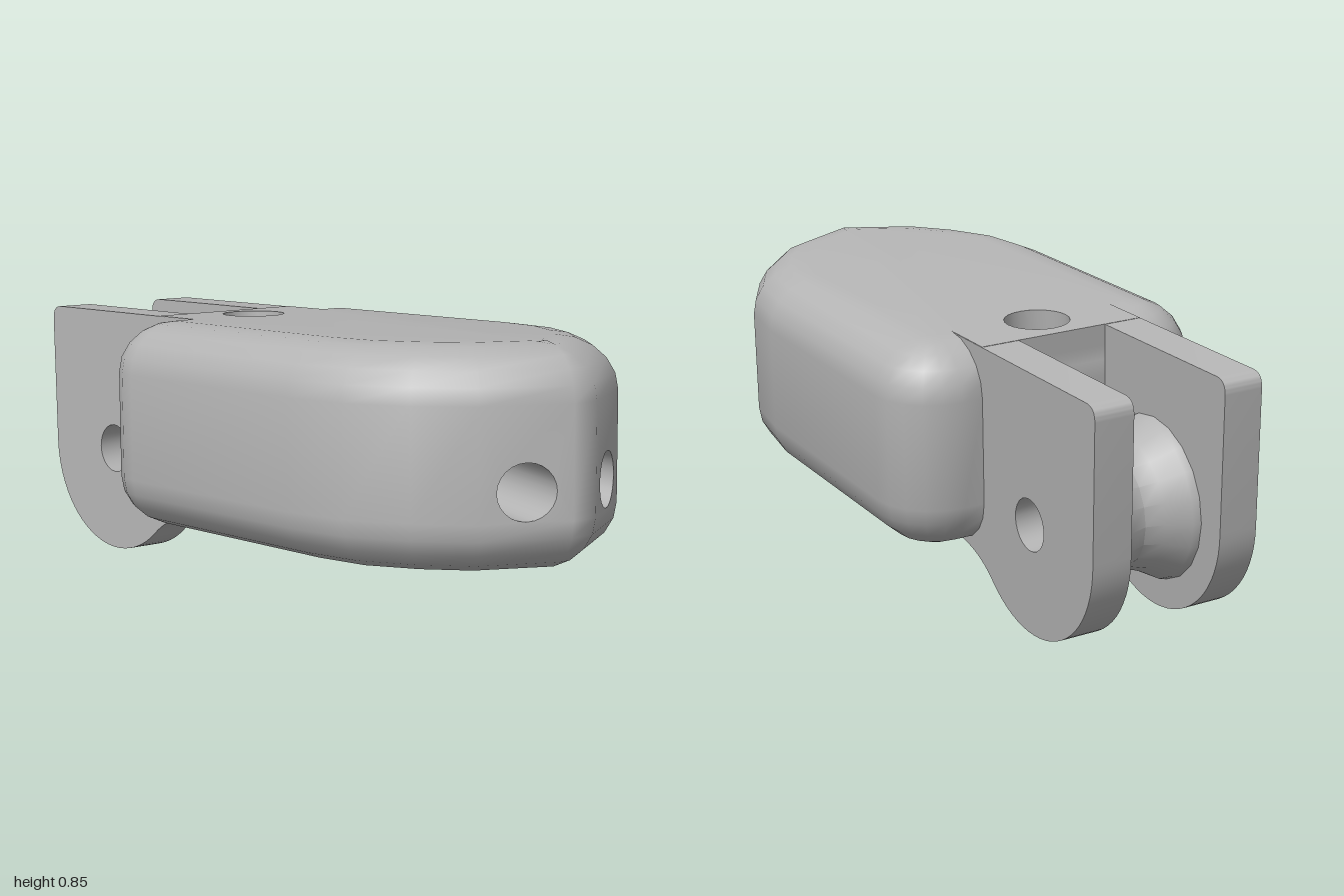
import * as THREE from 'three';
import { mergeGeometries, toCreasedNormals } from 'three/addons/utils/BufferGeometryUtils.js';

const WALL = 0.145, HALF = 0.285, INSET = 0.16, REAR = -0.41;

// Strip to bare positions, merge and give smooth-but-creased normals
function finish(...geos) {
  const bare = geos.map((g) => {
    const n = g.index ? g.toNonIndexed() : g;
    n.deleteAttribute('uv');
    n.deleteAttribute('normal');
    return n;
  });
  return toCreasedNormals(mergeGeometries(bare), 0.6);
}

function fromTriangles(points) {
  return new THREE.BufferGeometry().setFromPoints(points);
}

// Plan outline: bullet nose, straight sides, rounded rear corners, square rear tab
function planOutline() {
  const half = [[0.04, 1], [0.25, 0.885], [0.36, 0.755], [0.44, 0.6], [0.467, 0.42]];
  for (let k = 0; k <= 5; k++) {
    const a = (k / 5) * Math.PI / 2;
    half.push([0.297 + 0.17 * Math.cos(a), -0.24 - 0.17 * Math.sin(a)]);
  }
  half.push([0.24, REAR], [0.24, REAR, true]);
  const all = [...half, ...half.slice().reverse().map(([x, z, s]) => [-x, z, s])];
  return all.map(([x, z, square], i) => {
    const p = all[(i + all.length - 1) % all.length], n = all[(i + 1) % all.length];
    const dx = n[0] - p[0], dz = n[1] - p[1], l = Math.hypot(dx, dz);
    return { x, z, nx: square ? 0 : -dz / l, nz: square ? 0 : dx / l };
  });
}

// Flat wall panel from A to B with an elliptical opening
function panel(A, B, u, y, ru, ry) {
  const L = Math.hypot(B.x - A.x, B.z - A.z);
  const s = new THREE.Shape().moveTo(0, -WALL).lineTo(L, -WALL).lineTo(L, WALL).lineTo(0, WALL);
  s.holes.push(new THREE.Path().absellipse(u, y, ru, ry, 0, Math.PI * 2));
  return new THREE.ShapeGeometry(s, 12).rotateY(Math.atan2(A.z - B.z, B.x - A.x)).translate(A.x, 0, A.z);
}

// Bore from an opening in a nose panel back to a circle at depth z
function bore(A, B, u, y, ru, ry, end) {
  const N = 24, L = Math.hypot(B.x - A.x, B.z - A.z), tris = [];
  const front = (i) => {
    const a = (i / N) * Math.PI * 2, t = (u + ru * Math.cos(a)) / L;
    return new THREE.Vector3(A.x + (B.x - A.x) * t, y + ry * Math.sin(a), A.z + (B.z - A.z) * t);
  };
  const back = (i) => {
    const a = (i / N) * Math.PI * 2;
    return new THREE.Vector3(end.x + end.r * Math.cos(a), end.y + end.r * Math.sin(a), end.z);
  };
  for (let i = 0; i < N; i++) {
    tris.push(front(i), back(i + 1), back(i), front(i), front(i + 1), back(i + 1));
  }
  return fromTriangles(tris);
}

function bodyGeometry(outline) {
  // Rows from the underside fillet over the wall to the top fillet
  const rows = [];
  for (let k = 5; k >= 0; k--) {
    const a = (k / 5) * Math.PI / 2;
    rows.push([-(WALL + (HALF - WALL) * Math.sin(a)), INSET * (1 - Math.cos(a))]);
  }
  rows.push(...rows.slice().reverse().map(([y, d]) => [-y, d]));
  const at = (i, r) => {
    const p = outline[i % outline.length], [y, d] = rows[r];
    return new THREE.Vector3(p.x - p.nx * d, y, p.z - p.nz * d);
  };
  const n = outline.length, mid = n / 2 - 1;
  const open = [0, mid, n - 2];
  const tris = [];
  for (let r = 0; r < rows.length - 1; r++) {
    for (let i = 0; i < n; i++) {
      if (r === 5 && open.includes(i)) continue;
      const a = at(i, r), b = at(i + 1, r), c = at(i + 1, r + 1), d = at(i, r + 1);
      tris.push(a, b, c, a, c, d);
    }
  }
  // Flat top with the round well, and flat underside
  const ring = (r, sign) => outline.map((_, i) => new THREE.Vector2(at(i, r).x, sign * at(i, r).z));
  const top = new THREE.Shape(ring(rows.length - 1, -1));
  top.holes.push(new THREE.Path().absarc(0, 0.28, 0.088, 0, Math.PI * 2));
  const bottom = new THREE.Shape(ring(0, 1));
  return finish(
    fromTriangles(tris),
    new THREE.ShapeGeometry(top, 12).rotateX(-Math.PI / 2).translate(0, HALF, 0),
    new THREE.ShapeGeometry(bottom).rotateX(Math.PI / 2).translate(0, -HALF, 0),
    panel(outline[0], outline[1], 0.12, -0.068, 0.077, 0.073),
    panel(outline[n - 2], outline[n - 1], 0.12, -0.068, 0.077, 0.073),
    panel(outline[mid], outline[mid + 1], 0.22, 0.05, 0.075, 0.075),
  );
}

// Side profile of one fork arm: square top, round lower lobe, pin hole
function armGeometry() {
  const s = new THREE.Shape();
  s.moveTo(0.25, 0.284).lineTo(0.91, 0.284);
  s.quadraticCurveTo(0.95, 0.284, 0.95, 0.245);
  s.lineTo(0.943, -0.122);
  s.absarc(0.643, -0.122, 0.3, 0, -Math.PI * 0.722, true);
  s.quadraticCurveTo(0.37, -0.284, 0.25, -0.284);
  s.holes.push(new THREE.Path().absarc(0.643, -0.122, 0.07, 0, Math.PI * 2));
  const g = new THREE.ExtrudeGeometry(s, { depth: 0.11, bevelEnabled: false, curveSegments: 12 });
  return finish(g.rotateY(Math.PI / 2));
}

export function createModel() {
  const grey = new THREE.MeshStandardMaterial({ color: 0xb4b4b4, side: THREE.DoubleSide });
  grey.name = 'plain grey';
  const root = new THREE.Group();
  root.name = 'pulleyBlock';

  // Everything is built upright, then tilted as one
  const block = new THREE.Group();
  block.name = 'tiltedBlock';
  block.rotation.set(-0.087, 0.157, -0.067, 'YXZ');
  block.position.set(-0.02, 0.49, 0);
  root.add(block);
  const add = (name, geo) => {
    const m = new THREE.Mesh(geo, grey);
    m.name = name;
    block.add(m);
    return m;
  };

  const outline = planOutline(), n = outline.length;
  add('body', bodyGeometry(outline));

  // Bores: one runs through to the fork, the other is blind
  add('throughBore', finish(bore(outline[n - 2], outline[n - 1], 0.12, -0.068, 0.077, 0.073,
    { x: 0.02, y: 0.05, z: REAR, r: 0.075 })));
  add('blindBore', finish(
    bore(outline[0], outline[1], 0.12, -0.068, 0.077, 0.073, { x: 0.1, y: -0.04, z: 0.5, r: 0.073 }),
    new THREE.CircleGeometry(0.073, 24).translate(0.1, -0.04, 0.5)));

  // Round well in the top
  add('topWell', finish(
    new THREE.CylinderGeometry(0.088, 0.088, 0.145, 24, 1, true).translate(0, HALF - 0.0725, 0.0 - 0.28),
    new THREE.CircleGeometry(0.088, 24).rotateX(-Math.PI / 2).translate(0, HALF - 0.145, -0.28)));

  // Fork arms
  const arm = armGeometry();
  add('leftArm', arm).position.x = 0.131;
  add('rightArm', arm).position.x = -0.241;

  // Hourglass pulley wheel between the arms
  const profile = [[0.07, -0.131], [0.22, -0.131], [0.215, -0.11], [0.18, -0.05], [0.165, 0],
    [0.18, 0.05], [0.215, 0.11], [0.22, 0.131], [0.07, 0.131], [0.07, -0.131]];
  const wheel = new THREE.LatheGeometry(profile.map(([r, y]) => new THREE.Vector2(r, y)), 20);
  add('pulleyWheel', finish(wheel.rotateZ(Math.PI / 2))).position.set(0, -0.122, -0.643);

  return root;
}
